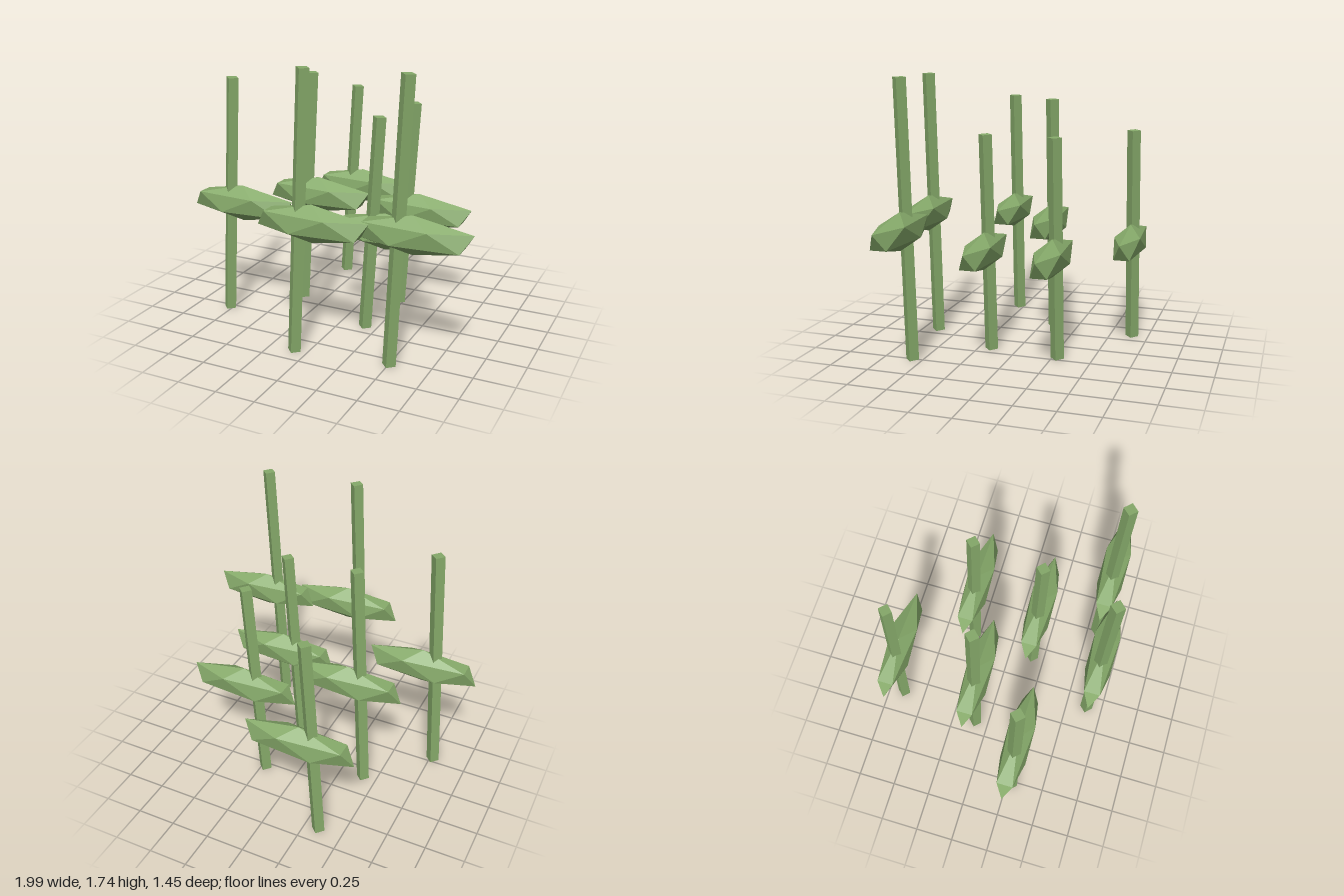
import * as THREE from 'three';

// Each plant: pad centre x, z, pad height, stalk height
const PLANTS = [
  [-0.215, -0.645, 0.67, 1.39],
  [0.35, -0.285, 0.67, 1.39],
  [0.30, 0.165, 0.67, 1.39],
  [-0.28, -0.09, 0.756, 1.57],
  [-0.64, 0.28, 0.756, 1.57],
  [0.045, 0.64, 0.836, 1.74],
  [0.635, 0.565, 0.836, 1.74],
];
const LEAN = 0.09; // sideways drift of each stalk from foot to top
const STALK_RADIUS = 0.043;

export function createModel() {
  const group = new THREE.Group();
  group.name = 'reeds';
  const green = new THREE.MeshStandardMaterial({ color: 0x86aa6a, flatShading: true });
  green.name = 'leaf green';

  // Leaf pad: icosahedron stood on a vertex, then stretched along x
  const padGeometry = new THREE.IcosahedronGeometry(1, 0);
  padGeometry.rotateZ(-Math.atan(2 / (1 + Math.sqrt(5))));
  padGeometry.scale(0.4, 0.117, 0.096);
  padGeometry.computeVertexNormals();

  PLANTS.forEach(([x, z, padY, height], i) => {
    const plant = new THREE.Group();
    plant.name = `plant${i + 1}`;
    plant.position.set(x, 0, z);

    const pad = new THREE.Mesh(padGeometry, green);
    pad.name = 'leafPad';
    pad.position.y = padY;

    // Square stalk set cornerwise, leaning slightly towards +x
    const angle = Math.atan(LEAN / height);
    const length = height - 2 * STALK_RADIUS * Math.sin(angle);
    const stalk = new THREE.Mesh(
      new THREE.CylinderGeometry(STALK_RADIUS, STALK_RADIUS, length, 4), green);
    stalk.name = 'stalk';
    stalk.position.set(-0.085, height / 2, 0);
    stalk.rotation.z = -angle;

    plant.add(pad, stalk);
    group.add(plant);
  });
  return group;
}
